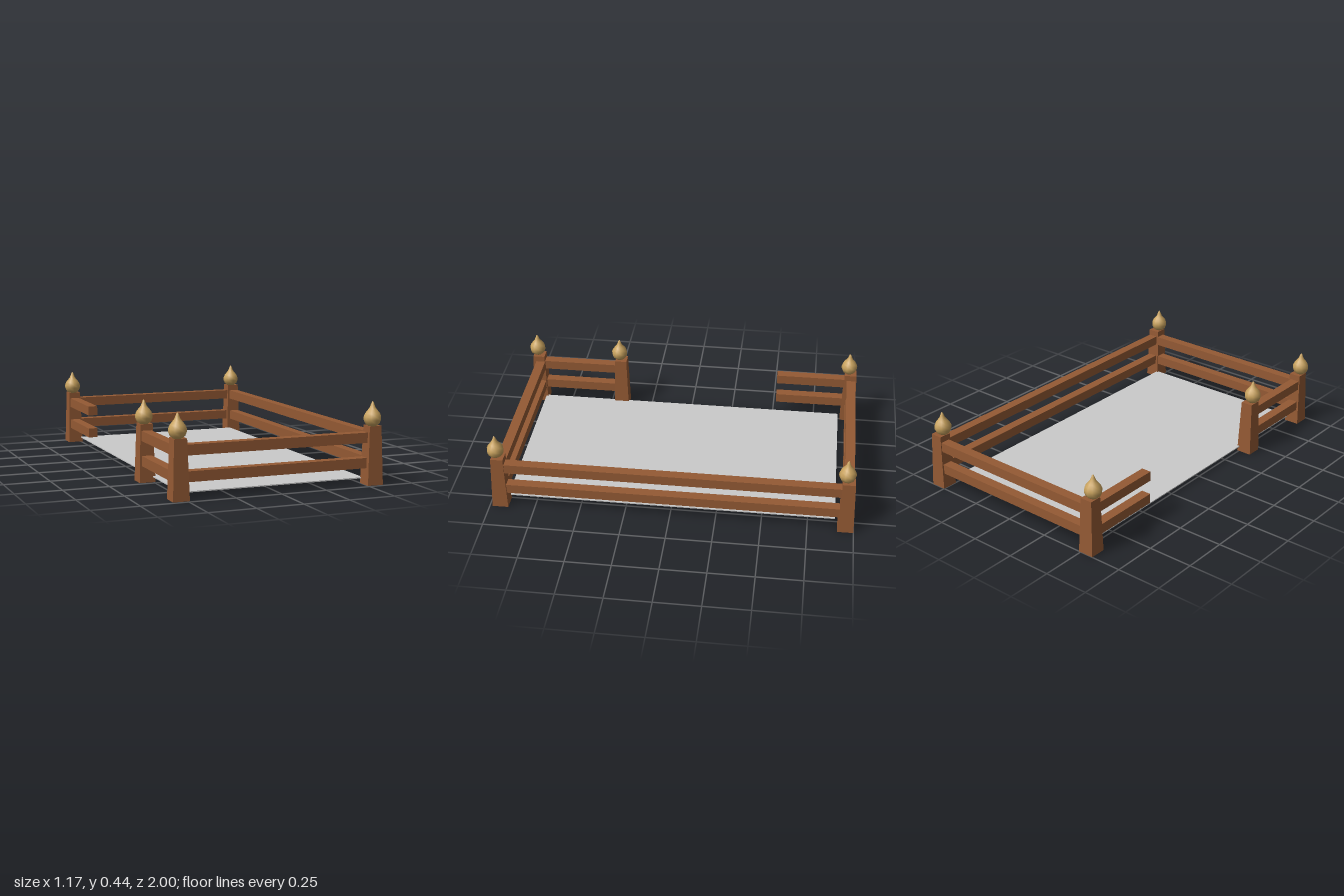
import * as THREE from 'three';

const mat = (name, color, opts = {}) => {
  const m = new THREE.MeshStandardMaterial({ color, ...opts });
  m.name = name;
  return m;
};

export function createModel() {
  const group = new THREE.Group();
  const wood = mat('brown wood', 0x945a34);
  const brass = mat('pale brass', 0xc8a25e);
  const floorGrey = mat('light grey', 0xcacaca);

  const add = (name, geo, material, x, y, z) => {
    const mesh = new THREE.Mesh(geo, material);
    mesh.name = name;
    mesh.position.set(x, y, z);
    group.add(mesh);
    return mesh;
  };

  // Square post, tapering upwards
  const postHeight = 0.31;
  let postGeo = new THREE.CylinderGeometry(0.034 * Math.SQRT2, 0.044 * Math.SQRT2, postHeight, 4);
  postGeo.rotateY(Math.PI / 4);
  postGeo = postGeo.toNonIndexed();
  postGeo.computeVertexNormals();

  // Teardrop finial
  const profile = [
    [0, 0.306], [0.022, 0.309], [0.038, 0.322], [0.046, 0.342], [0.046, 0.358],
    [0.039, 0.376], [0.027, 0.391], [0.016, 0.405], [0.01, 0.42], [0.005, 0.433], [0, 0.438],
  ].map(([r, y]) => new THREE.Vector2(r, y));
  const finialGeo = new THREE.LatheGeometry(profile, 10);

  // Four corner posts and one gate post; finials sit slightly off centre
  const left = 0.543, right = -0.533, front = 0.94, back = -0.956, gate = 0.433;
  const posts = {
    frontLeft: [left, front], frontRight: [right, front],
    backLeft: [left, back], backRight: [right, back], gate: [right, gate],
  };
  for (const [name, [x, z]] of Object.entries(posts)) {
    add(name + 'Post', postGeo, wood, x, postHeight / 2, z);
    add(name + 'Finial', finialGeo, brass, x - 0.008, 0, z + 0.012);
  }

  // Two levels of rails; the right side leaves an opening
  const t = 0.054;
  const alongX = (name, z, y) =>
    add(name, new THREE.BoxGeometry(left - right, t, t), wood, (left + right) / 2, y, z);
  const alongZ = (name, x, y, z0, z1) =>
    add(name, new THREE.BoxGeometry(t, t, z1 - z0), wood, x, y, (z0 + z1) / 2);
  for (const [level, y] of [['lower', 0.116], ['upper', 0.249]]) {
    alongX(level + 'FrontRail', 0.93, y);
    alongX(level + 'BackRail', -0.96, y);
    alongZ(level + 'LeftRail', 0.546, y, back, front);
    alongZ(level + 'RightFrontRail', -0.535, y, gate, front);
    alongZ(level + 'RightBackRail', -0.535, y, back, -0.518);
  }

  // Thin floor panel
  add('floor', new THREE.BoxGeometry(1.014, 0.006, 1.806), floorGrey, 0.004, 0.029, 0.005);

  return group;
}
